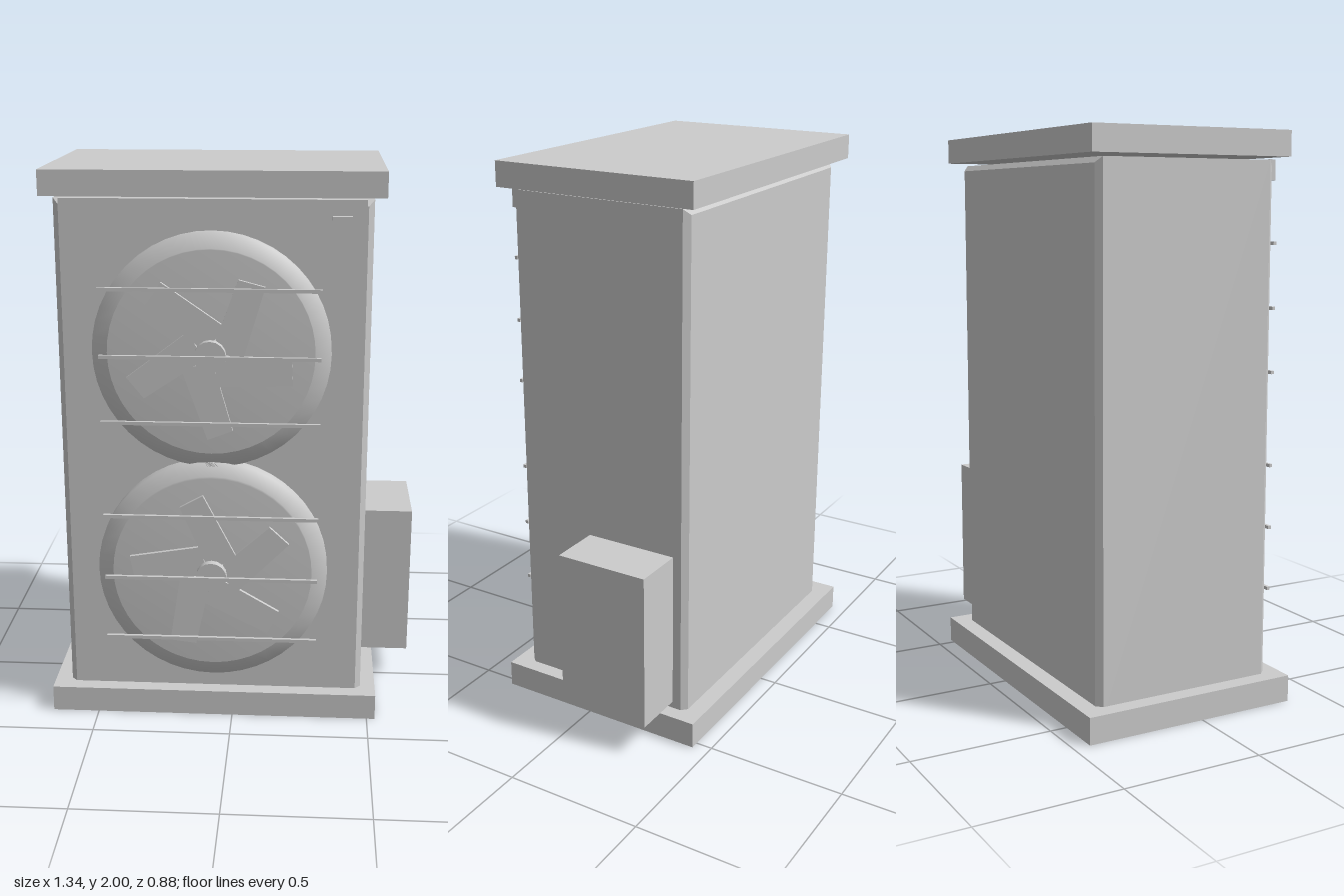
import * as THREE from 'three';

const CX = -0.07; // centre line of the cabinet

export function createModel() {
  const model = new THREE.Group();
  model.name = 'outdoorFanUnit';
  const grey = new THREE.MeshStandardMaterial({ color: 0xcccccc });
  grey.name = 'lightGrey';

  const add = (name, geometry, parent = model) => {
    const mesh = new THREE.Mesh(geometry, grey);
    mesh.name = name;
    parent.add(mesh);
    return mesh;
  };
  // box given by its lower and upper corners
  const box = (name, [x0, y0, z0], [x1, y1, z1], parent) => {
    const mesh = add(name, new THREE.BoxGeometry(x1 - x0, y1 - y0, z1 - z0), parent);
    mesh.position.set((x0 + x1) / 2, (y0 + y1) / 2, (z0 + z1) / 2);
    return mesh;
  };

  // plinth, roof slab and side box
  box('base', [-0.67, 0, -0.44], [0.53, 0.095, 0.362]);
  box('roof', [-0.65, 1.912, -0.418], [0.515, 2, 0.342]);
  box('sideBox', [0.46, 0.12, -0.325], [0.665, 0.695, 0.02]);

  // cabinet with chamfered edges
  const b = 0.02, w = 1.085, y0 = 0.06, y1 = 1.902, z0 = -0.377, z1 = 0.307;
  const outline = new THREE.Shape();
  outline.moveTo(-w / 2 + b, y0 + b);
  outline.lineTo(w / 2 - b, y0 + b);
  outline.lineTo(w / 2 - b, y1 - b);
  outline.lineTo(-w / 2 + b, y1 - b);
  outline.closePath();
  const cabinet = add('cabinet', new THREE.ExtrudeGeometry(outline, {
    depth: z1 - z0 - 2 * b, bevelEnabled: true, bevelSize: b, bevelThickness: b, bevelSegments: 1,
  }));
  cabinet.position.set(CX + 0.003, 0, z0 + b);

  // strip below the roof and its small badge plate
  box('topStrip', [-0.585, 1.835, 0.3], [0.45, 1.905, 0.326]);
  box('smallPlate', [0.335, 1.785, 0.3], [0.402, 1.852, 0.345]);

  // stepped, softly shaded fan housing
  const housing = new THREE.LatheGeometry([
    [0.412, 0.3], [0.412, 0.352], [0.357, 0.352], [0.357, 0.374], [0, 0.374],
  ].map(([r, z]) => new THREE.Vector2(r, z)), 48);
  housing.rotateX(Math.PI / 2);

  const hub = new THREE.CylinderGeometry(0.055, 0.055, 0.055, 16);
  hub.rotateX(Math.PI / 2);
  hub.translate(0, 0, 0.395);

  // one blade, set beside the radius so that five form a pinwheel
  const bladeShape = new THREE.Shape([
    [0.02, -0.11], [0.282, -0.104], [0.277, -0.01], [0.02, 0],
  ].map(([x, y]) => new THREE.Vector2(x, y)));
  const blade = new THREE.ExtrudeGeometry(bladeShape, { depth: 0.014, bevelEnabled: false });
  blade.translate(0, 0, 0.38);

  const addFan = (name, y, turn) => {
    const fan = new THREE.Group();
    fan.name = name;
    fan.position.set(CX, y, 0);
    model.add(fan);
    add('housing', housing, fan);
    add('hub', hub, fan);
    for (let i = 0; i < 5; i++) {
      add('blade', blade, fan).rotation.z = turn + (i * Math.PI * 2) / 5;
    }
    // guard bars
    for (const h of [-0.232, 0, 0.232]) {
      box('guardBar', [-0.377, h - 0.006, 0.426], [0.377, h + 0.006, 0.438], fan);
    }
  };
  addFan('upperFan', 1.386, 0);
  addFan('lowerFan', 0.579, THREE.MathUtils.degToRad(44));

  return model;
}
